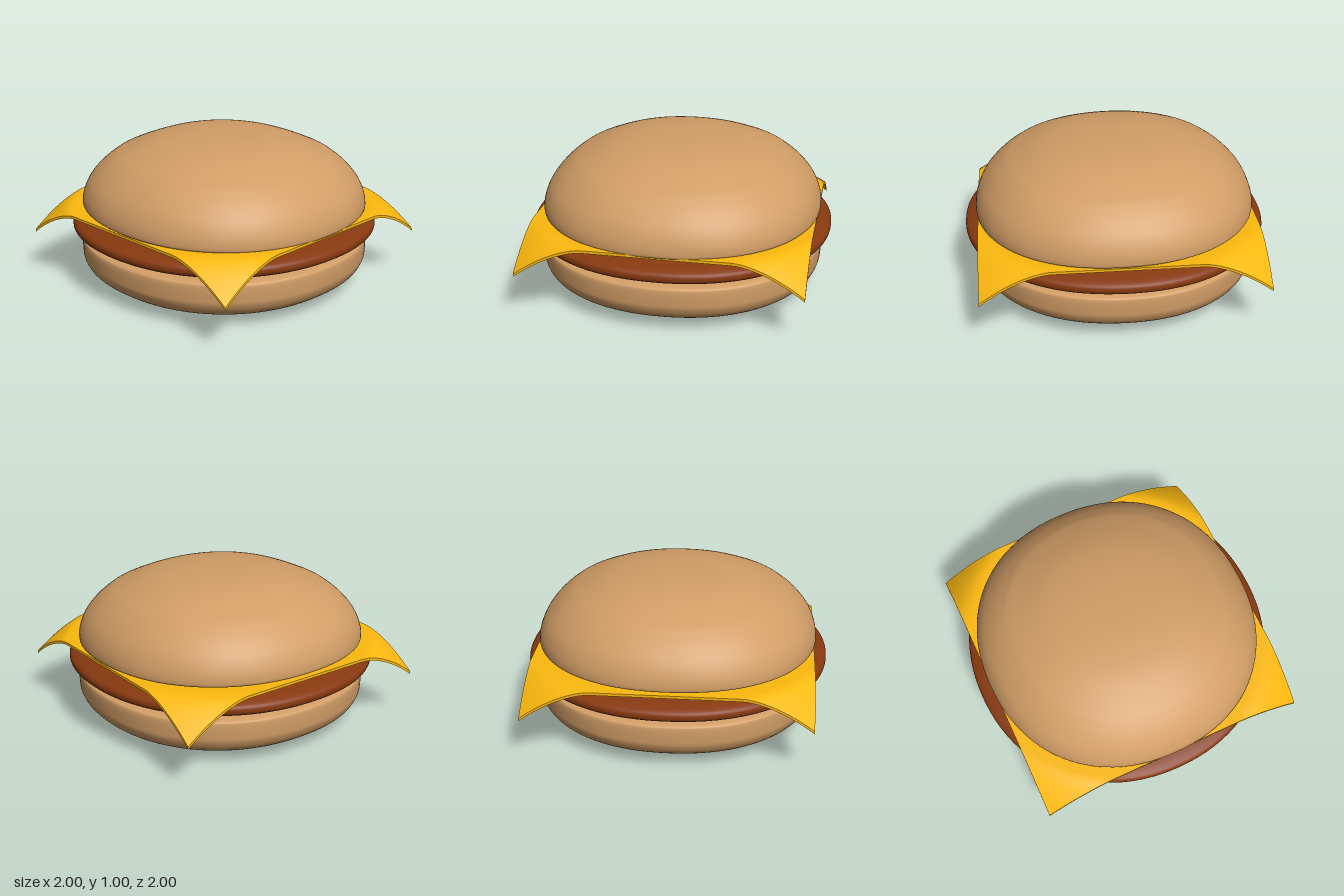
import * as THREE from 'three';
import { mergeVertices } from 'three/addons/utils/BufferGeometryUtils.js';

const material = (color) => new THREE.MeshStandardMaterial({ color });

// Smooth part turned from its rim points, closed to the axis, with a slightly squared plan
function roundPart(name, rim, yBottom, yTop, mat, power) {
  const curve = new THREE.SplineCurve(rim.map(([r, y]) => new THREE.Vector2(r, y)));
  const profile = curve.getPoints(56);
  if (rim[0][0] > 0) profile.unshift(new THREE.Vector2(0, yBottom));
  if (rim[rim.length - 1][0] > 0) profile.push(new THREE.Vector2(0, yTop));
  const lathe = new THREE.LatheGeometry(profile, 96);
  const pos = lathe.attributes.position;
  for (let i = 0; i < pos.count; i++) {
    const x = pos.getX(i), z = pos.getZ(i), r = Math.hypot(x, z);
    if (r < 1e-6) continue;
    const k = (Math.abs(x / r) ** power + Math.abs(z / r) ** power) ** (-1 / power);
    pos.setX(i, x * k);
    pos.setZ(i, z * k);
  }
  // Join the seam so the shading is continuous
  lathe.deleteAttribute('normal');
  lathe.deleteAttribute('uv');
  const geo = mergeVertices(lathe);
  geo.computeVertexNormals();
  const mesh = new THREE.Mesh(geo, mat);
  mesh.name = name;
  return mesh;
}

// Square slice whose corners droop beyond the edge of the patty
function cheeseSlice(mat) {
  const geo = new THREE.BoxGeometry(1.826, 0.018, 1.826, 48, 1, 48);
  const pos = geo.attributes.position;
  for (let i = 0; i < pos.count; i++) {
    const over = Math.max(0, Math.hypot(pos.getX(i), pos.getZ(i)) - 1.03);
    pos.setY(i, pos.getY(i) + 0.506 - 1.32 * over ** 1.4);
  }
  geo.computeVertexNormals();
  const mesh = new THREE.Mesh(geo, mat);
  mesh.name = 'cheeseSlice';
  return mesh;
}

export function createModel() {
  const group = new THREE.Group();
  group.name = 'burger';
  const bun = material(0xd19d66);

  group.add(roundPart('bottomBun', [
    [0, 0], [0.4, 0.007], [0.66, 0.025], [0.8, 0.054], [0.89, 0.104],
    [0.93, 0.165], [0.938, 0.22], [0.938, 0.29], [0.925, 0.313], [0.88, 0.325],
  ], 0, 0.325, bun, 2.16));

  group.add(roundPart('patty', [
    [0.8, 0.322], [0.88, 0.344], [0.95, 0.363], [0.99, 0.384], [1, 0.41],
    [0.99, 0.437], [0.95, 0.456], [0.88, 0.473], [0.8, 0.495],
  ], 0.322, 0.495, material(0x87390f), 2.13));

  group.add(cheeseSlice(material(0xfcb90f)));

  // Top bun sits slightly raised at the back
  const topBun = roundPart('topBun', [
    [0.88, -0.004], [0.918, 0.004], [0.926, 0.03], [0.915, 0.09], [0.88, 0.167],
    [0.82, 0.242], [0.75, 0.304], [0.67, 0.354], [0.47, 0.433], [0.24, 0.47], [0, 0.478],
  ], -0.004, 0.478, bun, 2.18);
  topBun.position.y = 0.521;
  topBun.rotation.x = 0.018;
  group.add(topBun);

  return group;
}
